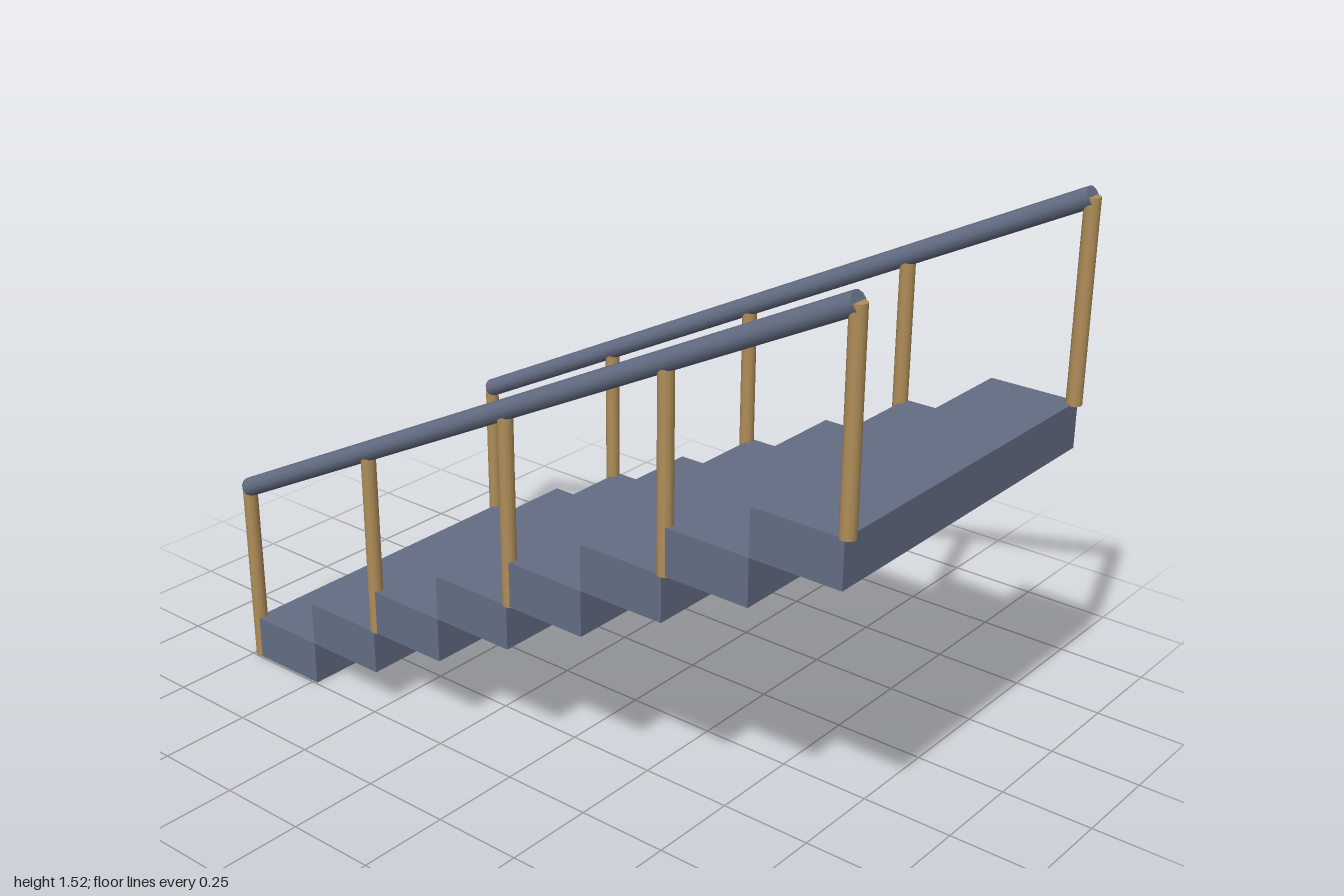
import * as THREE from 'three';

const STEPS = 8, RUN = 0.2455, RISE = 0.123, WIDTH = 0.99;
const RAIL_X = 0.48, END_Z = 0.98, RAIL_LOW = 0.52, RAIL_HIGH = 1.5;

export function createModel() {
  const slate = new THREE.MeshStandardMaterial({ color: 0x646d84 });
  slate.name = 'slate';
  const wood = new THREE.MeshStandardMaterial({ color: 0xb08e59 });
  wood.name = 'wood';

  const model = new THREE.Group();
  model.name = 'staircase';
  const add = (name, geometry, material, x, y, z) => {
    const mesh = new THREE.Mesh(geometry, material);
    mesh.name = name;
    mesh.position.set(x, y, z);
    model.add(mesh);
    return mesh;
  };

  // Step: side profile with a tiny chamfer on the nosing, extruded across the width
  const h = RUN / 2, c = 0.006;
  const profile = new THREE.Shape([
    [-h, 0], [h, 0], [h, RISE - c], [h - c, RISE], [-h, RISE],
  ].map(([x, y]) => new THREE.Vector2(x, y)));
  const stepGeometry = new THREE.ExtrudeGeometry(profile, { depth: WIDTH, bevelEnabled: false });
  stepGeometry.translate(0, 0, -WIDTH / 2).rotateY(Math.PI / 2);

  // Flight climbs from the back to the front
  for (let i = 0; i < STEPS; i++) {
    add(`step${i + 1}`, stepGeometry, slate, 0, i * RISE, (i + 0.5 - STEPS / 2) * RUN);
  }

  // Balusters and sloping handrail on each side
  const postHeight = RAIL_LOW;
  const postGeometry = new THREE.CylinderGeometry(0.02, 0.02, postHeight, 12);
  const slope = RAIL_HIGH - RAIL_LOW;
  const railGeometry = new THREE.CylinderGeometry(0.026, 0.026, Math.hypot(2 * END_Z, slope), 12);
  for (const [side, sign] of [['left', 1], ['right', -1]]) {
    for (let i = 0; i < 5; i++) {
      const t = i / 4;
      add(`${side}Post${i + 1}`, postGeometry, wood,
        sign * RAIL_X, t * slope + postHeight / 2, (2 * t - 1) * END_Z);
    }
    const rail = add(`${side}Handrail`, railGeometry, slate,
      sign * RAIL_X, (RAIL_LOW + RAIL_HIGH) / 2, 0);
    rail.rotation.x = Math.atan2(2 * END_Z, slope);
  }
  return model;
}
